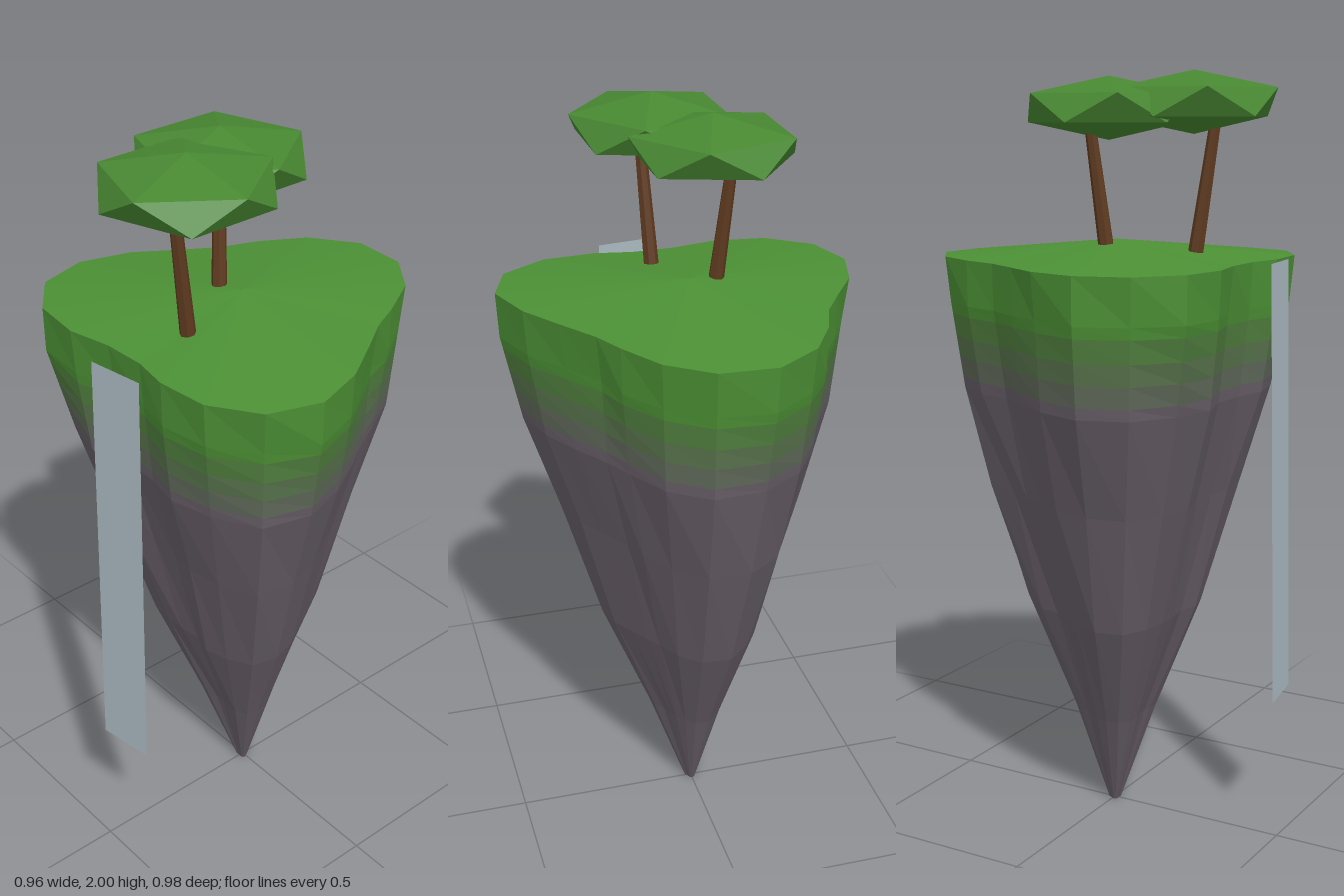
import * as THREE from 'three';

const mat = (name, color, extra = {}) =>
  Object.assign(new THREE.MeshStandardMaterial({ color, flatShading: true, ...extra }), { name });

// Three-lobed outline of the island top, as x, z pairs
const OUTLINE = [
  [-0.08, -0.49], [0.07, -0.485], [0.18, -0.4], [0.25, -0.28], [0.29, -0.195], [0.36, -0.09],
  [0.43, 0.02], [0.476, 0.16], [0.43, 0.298], [0.307, 0.378], [0.165, 0.391], [0.06, 0.372],
  [-0.06, 0.376], [-0.18, 0.402], [-0.325, 0.385], [-0.44, 0.298], [-0.48, 0.16], [-0.44, 0.02],
  [-0.37, -0.085], [-0.31, -0.18], [-0.27, -0.287], [-0.2, -0.405],
];

// Height, scale of the outline, and roughness of each ring
const RINGS = [
  [1.52, 1, 0], [1.4, 0.98, 0.02], [1.17, 0.9, 0.025], [0.9, 0.725, 0.035],
  [0.57, 0.505, 0.04], [0.27, 0.24, 0.04], [0, 0.035, 0],
];

function geometry(triangles) {
  const g = new THREE.BufferGeometry().setFromPoints(triangles);
  g.computeVertexNormals();
  return g;
}

// Wall of quads between two closed rings
function wall(hi, lo) {
  return hi.flatMap((p, i) => {
    const j = (i + 1) % hi.length;
    return [lo[i], p, hi[j], lo[i], hi[j], lo[j]];
  });
}

// Fan that closes a ring at a centre point
function cap(ring, centre, up) {
  return ring.flatMap((p, i) => {
    const q = ring[(i + 1) % ring.length];
    return up ? [centre, q, p] : [centre, p, q];
  });
}

export function createModel() {
  const model = new THREE.Group();
  model.name = 'floatingIsland';

  const grass = mat('grass', 0x4c9035);
  const grassFade = mat('grassFade', 0x51803f);
  const mossFade = mat('mossFade', 0x59754d);
  const stoneFade = mat('stoneFade', 0x616a5b);
  const rock = mat('rock', 0x686068);
  const foliage = mat('foliage', 0x488832);
  const bark = mat('bark', 0x5f3b20);
  const water = mat('water', 0xaabac1, { side: THREE.DoubleSide });

  const add = (parent, name, geo, material) => {
    const mesh = new THREE.Mesh(geo, material);
    mesh.name = name;
    parent.add(mesh);
    return mesh;
  };

  let seed = 11;
  const random = () => (seed = (seed * 16807) % 2147483647) / 2147483647;

  // Island body
  const rings = RINGS.map(([y, s, rough]) => OUTLINE.map(([x, z]) => {
    const k = s * (1 + (random() * 2 - 1) * rough);
    return new THREE.Vector3(x * k, y, z * k);
  }));
  const between = (y) => rings[1].map((p, i) => p.clone().lerp(rings[2][i], (1.4 - y) / 0.23));
  const fade = [1.37, 1.31, 1.255, 1.2].map(between);

  add(model, 'grassTop', geometry(cap(rings[0], new THREE.Vector3(0, 1.57, 0), true)), grass);
  add(model, 'grassRim', geometry([...wall(rings[0], rings[1]), ...wall(rings[1], fade[0])]), grass);
  [grassFade, mossFade, stoneFade].forEach((m, i) =>
    add(model, m.name + 'Band', geometry(wall(fade[i], fade[i + 1])), m));

  const cliff = [fade[3], ...rings.slice(2)];
  const cliffTriangles = cliff.slice(1).flatMap((ring, i) => wall(cliff[i], ring));
  cliffTriangles.push(...cap(rings[6], new THREE.Vector3(0, 0, 0), false));
  add(model, 'rockCliff', geometry(cliffTriangles), rock);

  // Trees: leaning trunk and flattened twenty-sided crown with a vertex at the pole
  function tree(name, base, tip, crown) {
    const group = new THREE.Group();
    group.name = name;
    const a = new THREE.Vector3(...base), b = new THREE.Vector3(...tip);
    const axis = b.clone().sub(a);
    const trunk = add(group, 'trunk', new THREE.CylinderGeometry(0.015, 0.021, axis.length(), 7), bark);
    trunk.position.copy(a).add(b).multiplyScalar(0.5);
    trunk.quaternion.setFromUnitVectors(new THREE.Vector3(0, 1, 0), axis.normalize());

    const ring = (y, turn) => Array.from({ length: 5 }, (_, i) => {
      const t = (i * 2 + turn) * Math.PI / 5;
      return new THREE.Vector3(0.214 * Math.cos(t), y, 0.214 * Math.sin(t));
    });
    const hi = ring(0.036, 0), lo = ring(-0.036, 1);
    const leaves = add(group, 'crown', geometry([
      ...cap(hi, new THREE.Vector3(0, 0.08, 0), true),
      ...wall(hi, lo),
      ...cap(lo, new THREE.Vector3(0, -0.08, 0), false),
    ]), foliage);
    leaves.position.set(...crown);
    model.add(group);
  }
  tree('backTree', [-0.07, 1.53, 0.018], [-0.104, 1.87, -0.014], [-0.063, 1.905, 0.018]);
  tree('frontTree', [0.047, 1.52, 0.212], [0.064, 1.88, 0.26], [0.045, 1.92, 0.206]);

  // Waterfall sheet, slanting outwards towards the bottom
  const [tl, tr, bl, br] = [
    [-0.015, 1.525, 0.458], [0.14, 1.525, 0.435], [-0.012, 0.375, 0.486], [0.143, 0.375, 0.462],
  ].map((p) => new THREE.Vector3(...p));
  add(model, 'waterfall', geometry([bl, br, tr, bl, tr, tl]), water);

  return model;
}
